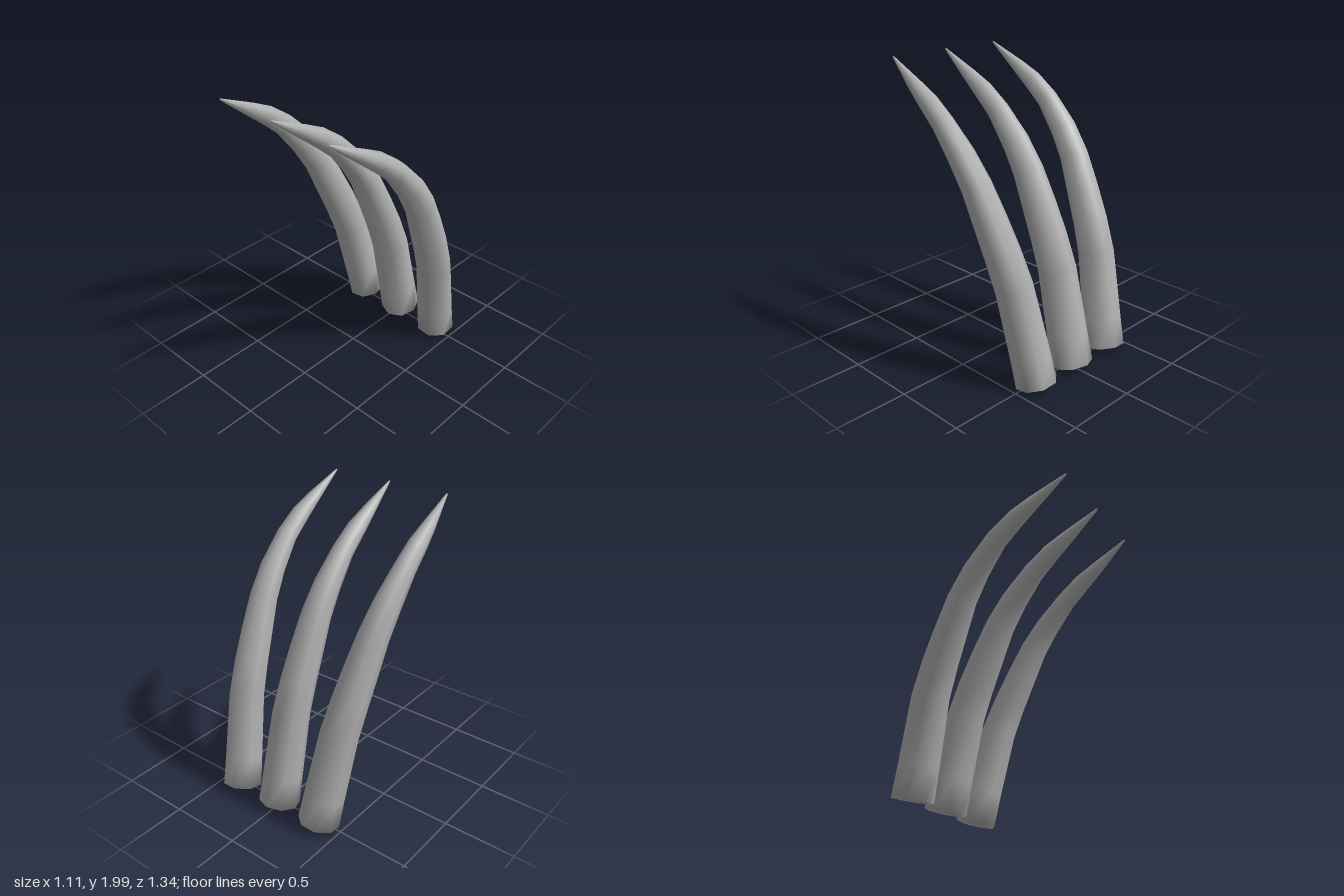
import * as THREE from 'three';

const SIDES = 8;

// Cross-sections from base to tip: z, y, radius, outward x of an outer claw
const SECTIONS = [
  [-0.535, 0.04, 0.14, 0.345],
  [-0.49, 0.24, 0.135, 0.36],
  [-0.39, 0.68, 0.126, 0.40],
  [-0.31, 0.89, 0.12, 0.42],
  [-0.22, 1.09, 0.112, 0.438],
  [-0.12, 1.30, 0.1, 0.457],
  [-0.005, 1.47, 0.09, 0.47],
  [0.155, 1.65, 0.073, 0.478],
  [0.30, 1.765, 0.064, 0.474],
  [0.43, 1.847, 0.046, 0.467],
  [0.667, 1.993, 0.006, 0.447],
];

// Tapered curved tube with closed ends; side is -1, 0 or 1
function clawGeometry(side) {
  const yaw = side * 0.32;
  const centres = SECTIONS.map(([z, y, , x]) => new THREE.Vector3(side * x, y, z));
  const last = centres.length - 1;
  const positions = [];
  const index = [];

  centres.forEach((centre, i) => {
    const tangent = centres[Math.min(i + 1, last)].clone()
      .sub(centres[Math.max(i - 1, 0)]).normalize();
    const across = new THREE.Vector3(Math.cos(yaw), 0, -Math.sin(yaw));
    across.addScaledVector(tangent, -across.dot(tangent)).normalize();
    const up = tangent.clone().cross(across);
    for (let k = 0; k < SIDES; k++) {
      const angle = (k / SIDES) * Math.PI * 2;
      const p = centre.clone()
        .addScaledVector(across, Math.cos(angle) * SECTIONS[i][2])
        .addScaledVector(up, Math.sin(angle) * SECTIONS[i][2]);
      positions.push(p.x, p.y, p.z);
    }
  });

  // Wall between neighbouring rings
  for (let i = 0; i < last; i++) {
    for (let k = 0; k < SIDES; k++) {
      const a = i * SIDES + k;
      const b = i * SIDES + ((k + 1) % SIDES);
      index.push(a, b, b + SIDES, a, b + SIDES, a + SIDES);
    }
  }
  // Base cap and tip cap
  const top = last * SIDES;
  for (let k = 1; k < SIDES - 1; k++) {
    index.push(0, k + 1, k, top, top + k, top + k + 1);
  }

  const geometry = new THREE.BufferGeometry();
  geometry.setAttribute('position', new THREE.Float32BufferAttribute(positions, 3));
  geometry.setIndex(index);
  geometry.computeVertexNormals();
  return geometry;
}

export function createModel() {
  const group = new THREE.Group();
  group.name = 'claws';
  const grey = new THREE.MeshStandardMaterial({ color: 0xb0b0b0 });
  grey.name = 'grey';

  [['rightClaw', -1], ['middleClaw', 0], ['leftClaw', 1]].forEach(([name, side]) => {
    const claw = new THREE.Mesh(clawGeometry(side), grey);
    claw.name = name;
    group.add(claw);
  });
  return group;
}
